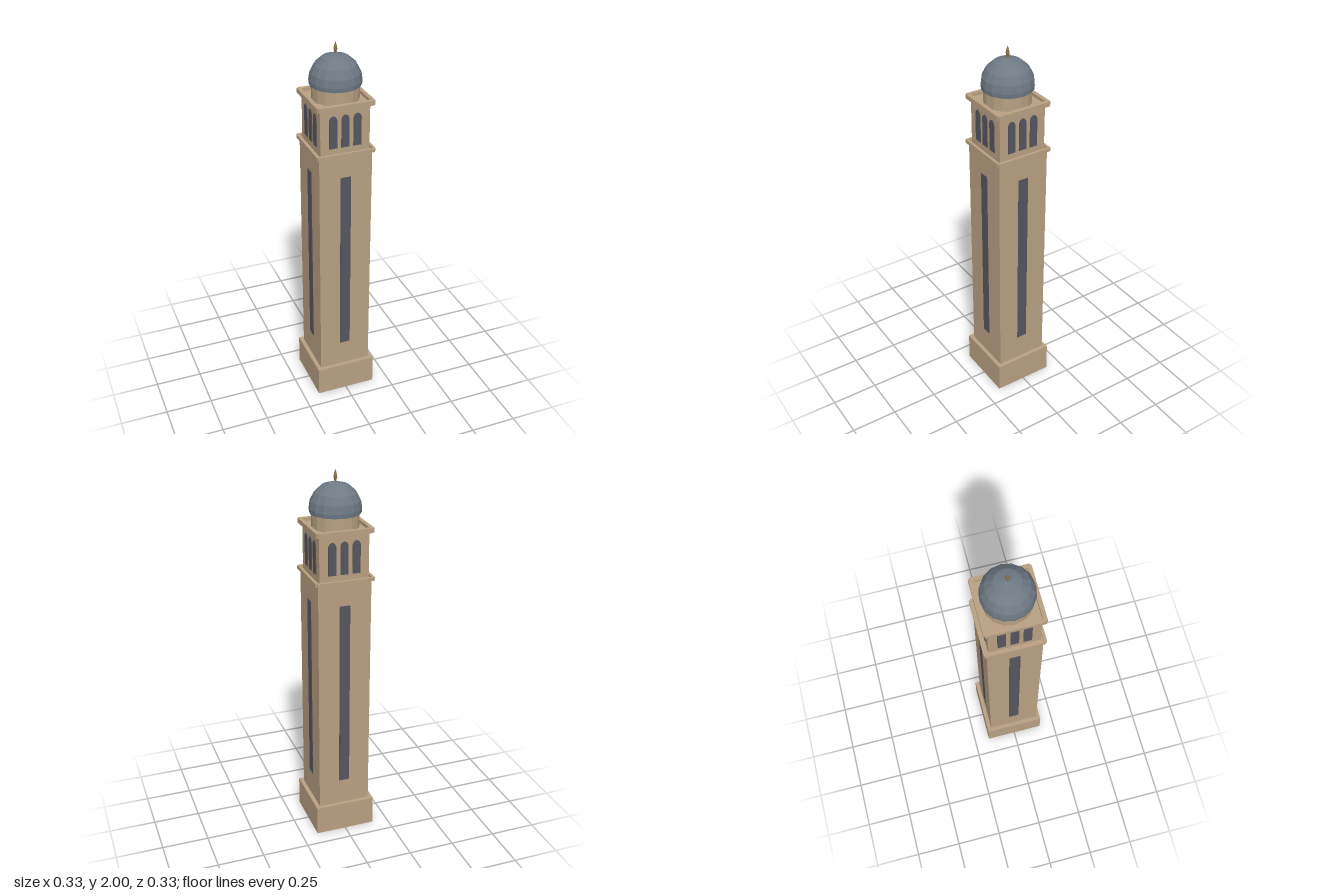
import * as THREE from 'three';

const material = (name, color) => {
  const m = new THREE.MeshStandardMaterial({ color, flatShading: true });
  m.name = name;
  return m;
};

export function createModel() {
  const stone = material('sandstone', 0xb8a081);
  const dark = material('dark glazing', 0x55555f);
  const slate = material('blue grey dome', 0x6f7a85);
  const bronze = material('bronze', 0x8a744a);
  const tower = new THREE.Group();
  tower.name = 'bellTower';

  const add = (parent, name, geometry, mat, x = 0, y = 0, z = 0) => {
    const mesh = new THREE.Mesh(geometry, mat);
    mesh.name = name;
    mesh.position.set(x, y, z);
    parent.add(mesh);
    return mesh;
  };

  // Square block given by its half width and its bottom and top heights
  const block = (name, half, bottom, top) =>
    add(tower, name, new THREE.BoxGeometry(half * 2, top - bottom, half * 2), stone, 0, (bottom + top) / 2, 0);

  block('base', 0.164, 0, 0.162);
  block('shaft', 0.142, 0.162, 1.462);
  block('belfry', 0.131, 1.462, 1.712);

  // Pointed opening of the belfry
  const arch = new THREE.Shape();
  arch.moveTo(-0.021, 1.5);
  arch.lineTo(0.021, 1.5);
  arch.lineTo(0.021, 1.65);
  arch.lineTo(0.014, 1.665);
  arch.lineTo(0, 1.673);
  arch.lineTo(-0.014, 1.665);
  arch.lineTo(-0.021, 1.65);
  arch.closePath();
  const archGeometry = new THREE.ExtrudeGeometry(arch, { depth: 0.004, bevelEnabled: false });

  // The same details on each of the four sides
  ['front', 'left', 'back', 'right'].forEach((side, i) => {
    const face = new THREE.Group();
    face.name = side + 'Side';
    face.rotation.y = (i * Math.PI) / 2;
    tower.add(face);

    // Narrow glazed strip with ten windows
    add(face, 'windowStrip', new THREE.BoxGeometry(0.058, 1.03, 0.002), dark, 0, 0.82, 0.142);
    for (let n = 0; n < 10; n++) {
      add(face, 'shaftWindow', new THREE.BoxGeometry(0.042, 0.064, 0.004), dark, 0, 0.338 + n * 0.1073, 0.142);
    }

    for (const x of [-0.064, 0, 0.064]) add(face, 'belfryOpening', archGeometry, dark, x, 0, 0.131);

    // Cornice bars with notched corners
    add(face, 'lowerCornice', new THREE.BoxGeometry(0.3, 0.018, 0.015), stone, 0, 1.465, 0.1495);
    add(face, 'upperCornice', new THREE.BoxGeometry(0.29, 0.024, 0.021), stone, 0, 1.717, 0.1415);
  });

  // Drum, dome and finial
  add(tower, 'drum', new THREE.CylinderGeometry(0.121, 0.121, 0.08, 16), stone, 0, 1.75, 0);

  const lathe = (name, points, segments, mat) =>
    add(tower, name, new THREE.LatheGeometry(points.map(([r, y]) => new THREE.Vector2(r, y)), segments), mat);

  lathe('dome', [[0, 1.785], [0.131, 1.785], [0.133, 1.807], [0.127, 1.846], [0.106, 1.887], [0.067, 1.922], [0, 1.94]], 16, slate);
  lathe('finial', [[0.005, 1.93], [0.006, 1.948], [0.01, 1.962], [0.007, 1.978], [0, 2]], 8, bronze);

  return tower;
}
